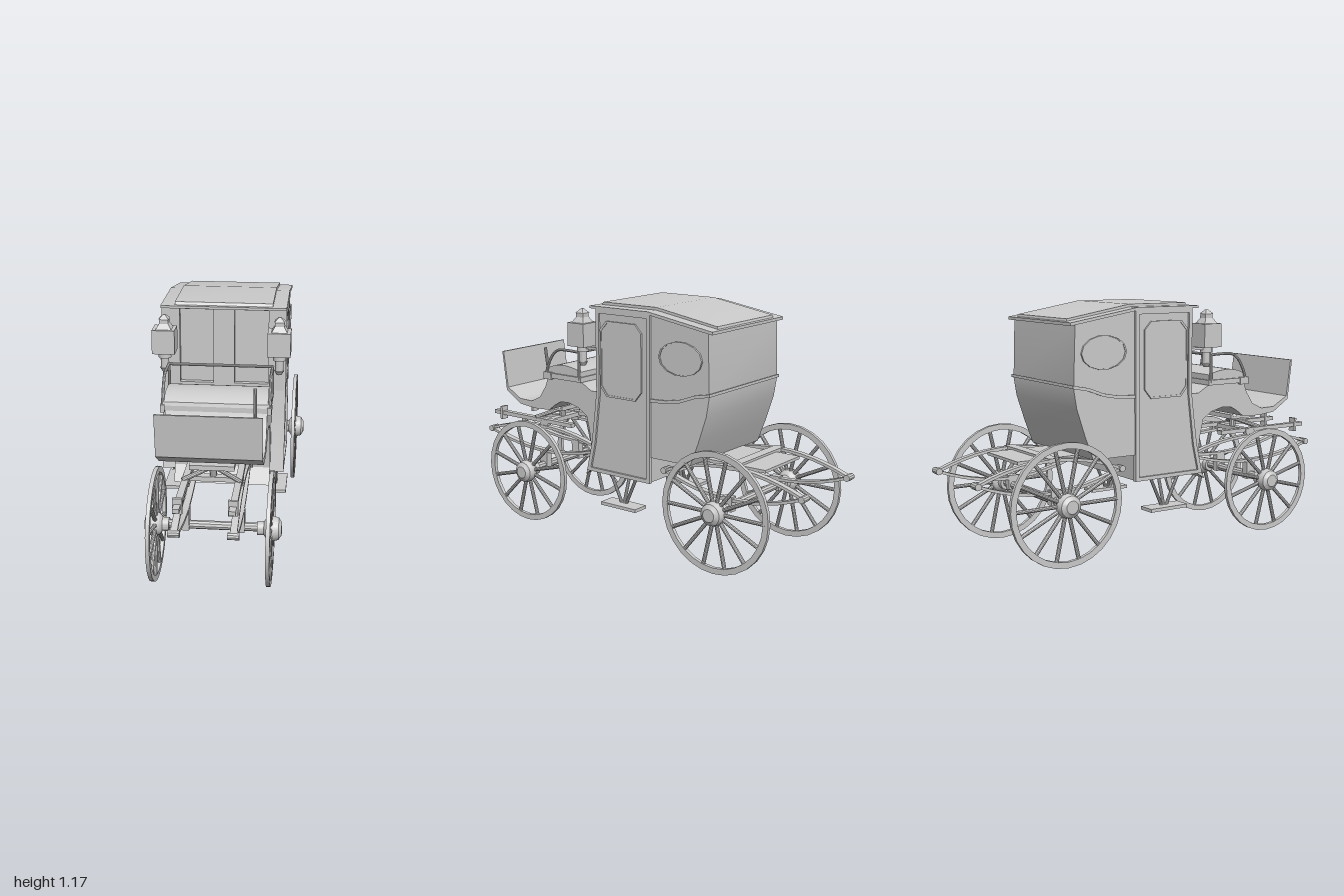
import * as THREE from 'three';
import { toCreasedNormals } from 'three/addons/utils/BufferGeometryUtils.js';

const mat = new THREE.MeshStandardMaterial({ color: 0xcccccc, side: THREE.DoubleSide });
const V = (x, y, z) => new THREE.Vector3(x, y, z);

export function createModel() {
  const root = new THREE.Group();

  function add(name, geo, parent = root) {
    const mesh = new THREE.Mesh(toCreasedNormals(geo, 0.55), mat);
    mesh.name = name;
    parent.add(mesh);
    return mesh;
  }
  const box = (name, w, h, d, x, y, z, parent) =>
    add(name, new THREE.BoxGeometry(w, h, d).translate(x, y, z), parent);

  // Side outline in (z, y), extruded across x and centred on cx
  const outline = (pts) => new THREE.Shape(pts.map(([z, y]) => new THREE.Vector2(z, y)));
  function side(name, shape, width, cx = 0) {
    const s = Array.isArray(shape) ? outline(shape) : shape;
    const g = new THREE.ExtrudeGeometry(s, { depth: width, bevelEnabled: false, curveSegments: 12 });
    return add(name, g.rotateY(-Math.PI / 2).translate(cx + width / 2, 0, 0));
  }
  // Straight round bar between two points
  function rod(name, a, b, r, parent) {
    const d = b.clone().sub(a);
    const g = new THREE.CylinderGeometry(r, r, d.length(), 10);
    g.applyQuaternion(new THREE.Quaternion().setFromUnitVectors(V(0, 1, 0), d.normalize()));
    return add(name, g.translate(...a.clone().add(b).multiplyScalar(0.5).toArray()), parent);
  }
  const tube = (name, pts, r) =>
    add(name, new THREE.TubeGeometry(new THREE.CatmullRomCurve3(pts, false, 'centripetal'), 28, r, 8));
  // Raised frame with a pane inside it, on the side of the body
  function windowFrame(name, pts, cz, cy, s, x) {
    const ring = outline(pts.map(([z, y]) => [cz + z, cy + y]));
    ring.holes.push(outline(pts.map(([z, y]) => [cz + z * 0.93, cy + y * 0.95])));
    side(name + 'Frame', ring, 0.014, s * x);
    side(name + 'Pane', pts.map(([z, y]) => [cz + z * 0.95, cy + y * 0.96]), 0.008, s * x);
  }
  // Curved leaf of a spring
  function leaf(name, z0, z1, y, rise, x) {
    const s = new THREE.Shape(), m = (z0 + z1) / 2, t = 0.014;
    s.moveTo(z0, y + t / 2).quadraticCurveTo(m, y + t / 2 + 2 * rise, z1, y + t / 2);
    s.lineTo(z1, y - t / 2).quadraticCurveTo(m, y - t / 2 + 2 * rise, z0, y - t / 2);
    side(name, s, 0.03, x);
  }

  // Cabin: door section with flared front, and tapered rear section
  const flare = [[0.11, 0.75], [0.122, 0.65], [0.142, 0.5], [0.175, 0.355]];
  side('cabinDoorSection', [[0.085, 1.155], [0.085, 0.75], ...flare, [-0.2, 0.355], [-0.2, 1.155]], 0.57);
  side('cabinRear', [[-0.19, 1.15], [-0.19, 0.48], [-0.435, 0.48], [-0.477, 0.59], [-0.52, 0.72],
    [-0.535, 0.81], [-0.525, 1.1]], 0.57);
  side('beltMoulding', [[-0.2, 0.745], [-0.3, 0.75], [-0.38, 0.765], [-0.46, 0.795], [-0.542, 0.812],
    [-0.542, 0.826], [-0.46, 0.81], [-0.38, 0.78], [-0.3, 0.765], [-0.2, 0.76]], 0.585);

  // Front wall with two recessed panels
  const wall = new THREE.Shape([[-0.285, 0.73], [0.285, 0.73], [0.285, 1.155], [-0.285, 1.155]]
    .map(p => new THREE.Vector2(...p)));
  for (const s of [-1, 1])
    wall.holes.push(new THREE.Path([[0.05, 0.78], [0.21, 0.78], [0.21, 1.14], [0.05, 1.14]]
      .map(([x, y]) => new THREE.Vector2(s * x, y))));
  add('frontWall', new THREE.ExtrudeGeometry(wall, { depth: 0.025, bevelEnabled: false }).translate(0, 0, 0.085));

  // Roof: overhanging slab with a raised middle
  side('roof', [[0.145, 1.15], [0.145, 1.162], [-0.2, 1.162], [-0.553, 1.104], [-0.553, 1.09], [-0.2, 1.148]], 0.59);
  side('roofPanel', [[0.125, 1.16], [0.115, 1.175], [-0.2, 1.175], [-0.535, 1.118], [-0.54, 1.1], [-0.2, 1.155]], 0.46);

  // Doors, posts and windows on both sides
  const octagon = [[-0.122, -0.135], [-0.085, -0.18], [0.085, -0.18], [0.122, -0.135],
    [0.122, 0.14], [0.085, 0.18], [-0.085, 0.18], [-0.122, 0.14]];
  const oval = Array.from({ length: 14 }, (_, i) => {
    const a = i / 14 * Math.PI * 2;
    return [0.12 * Math.cos(a), 0.078 * Math.sin(a)];
  });
  for (const s of [-1, 1]) {
    side('frontPost', [[0.11, 1.155], ...flare, [0.155, 0.355], [0.122, 0.5], [0.104, 0.65], [0.092, 0.75],
      [0.092, 1.155]], 0.02, s * 0.285);
    box('rearPost', 0.02, 0.8, 0.02, s * 0.285, 0.755, -0.2);
    box('doorSill', 0.02, 0.018, 0.37, s * 0.285, 0.364, -0.02);
    box('doorHeader', 0.02, 0.02, 0.3, s * 0.285, 1.14, -0.05);
    windowFrame('doorWindow', octagon, -0.037, 0.917, s, 0.287);
    windowFrame('ovalWindow', oval, -0.378, 0.965, s, 0.287);
  }

  // Driver's body: dashboard, footwell, seat riser and lower front
  side('driverBody', [[0.8, 0.865], [0.775, 0.665], [0.68, 0.605], [0.58, 0.595], [0.48, 0.6], [0.44, 0.63],
    [0.4, 0.652], [0.35, 0.655], [0.28, 0.638], [0.23, 0.605], [0.212, 0.53], [0.2, 0.44], [0.197, 0.385],
    [0.24, 0.31], [0.16, 0.36], [0.08, 0.36], [0.08, 0.735], [0.2, 0.735], [0.27, 0.775], [0.48, 0.775],
    [0.5, 0.72], [0.54, 0.66], [0.6, 0.63], [0.68, 0.632], [0.765, 0.68], [0.79, 0.865]], 0.46);
  box('seatBase', 0.49, 0.025, 0.235, 0, 0.782, 0.37);
  const cushion = new THREE.Shape();
  cushion.moveTo(0.26, 0.794).lineTo(0.49, 0.794).lineTo(0.485, 0.81);
  cushion.bezierCurveTo(0.43, 0.85, 0.34, 0.85, 0.26, 0.82);
  side('seatCushion', cushion, 0.47);
  for (const s of [-1, 1]) {
    const x = s * 0.24;
    tube('seatRail', [V(x, 0.785, 0.485), V(x, 0.83, 0.47), V(x, 0.89, 0.435), V(x, 0.915, 0.4),
      V(x, 0.92, 0.34), V(x, 0.918, 0.265)], 0.007);
    rod('seatRailPost', V(x, 0.78, 0.268), V(x, 0.922, 0.265), 0.007);
    box('railFoot', 0.02, 0.035, 0.05, x, 0.78, 0.47);
  }
  rod('seatBackRail', V(-0.24, 0.918, 0.265), V(0.24, 0.918, 0.265), 0.007);
  rod('brakeLever', V(0.18, 0.63, 0.5), V(0.18, 0.905, 0.543), 0.008);

  // Carriage lamps
  for (const s of [-1, 1]) {
    const lamp = new THREE.Group();
    lamp.name = 'lamp';
    lamp.position.set(s * 0.267, 0, 0.215);
    root.add(lamp);
    const part = (name, top, bottom, y0, y1, sides) => {
      const g = new THREE.CylinderGeometry(top, bottom, y1 - y0, sides);
      if (sides === 4) g.rotateY(Math.PI / 4);
      add(name, g.translate(0, (y0 + y1) / 2, 0), lamp);
    };
    box('lampHousing', 0.106, 0.113, 0.1, 0, 1.018, 0, lamp);
    part('lampRoof', 0.03, 0.052, 1.074, 1.1, 4);
    part('lampChimney', 0.03, 0.03, 1.1, 1.12, 4);
    part('lampCap', 0.006, 0.034, 1.12, 1.14, 4);
    part('lampNeck', 0.03, 0.03, 0.935, 0.962, 12);
    part('lampStem', 0.02, 0.02, 0.88, 0.94, 12);
    part('lampTip', 0.024, 0.012, 0.865, 0.885, 12);
    box('lampBracket', 0.02, 0.012, 0.12, 0, 0.955, -0.06, lamp);
  }

  // Wheels
  function wheel(name, R, spokes, x, y, z, turned) {
    const g = new THREE.Group();
    g.name = name;
    g.position.set(x, y, z);
    if (turned) g.rotation.y = Math.PI;
    root.add(g);
    const lathe = (part, pts, n) => add(part, new THREE.LatheGeometry(
      pts.map(p => new THREE.Vector2(...p)), n).rotateZ(-Math.PI / 2), g);
    const w = 0.028, t = 0.009;
    lathe('rim', [[R - w, -t], [R, -t], [R, t], [R - w, t], [R - w, -t]], 28);
    lathe('hub', [[0, -0.06], [0.032, -0.06], [0.032, -0.03], [0.048, -0.018], [0.056, 0], [0.056, 0.018],
      [0.05, 0.037], [0.036, 0.045], [0.03, 0.05], [0, 0.05]], 20);
    for (let i = 0; i < spokes; i++) {
      const a = (i + 0.5) / spokes * Math.PI * 2, c = Math.cos(a), d = Math.sin(a);
      rod('spoke', V(0, 0.04 * c, 0.04 * d), V(0, (R - 0.02) * c, (R - 0.02) * d), 0.0095, g);
    }
  }
  for (const s of [-1, 1]) {
    wheel('frontWheel', 0.262, 12, s * 0.26, 0.266, 0.61, s < 0);
    wheel('rearWheel', 0.285, 14, s * 0.32, 0.298, -0.595, s < 0);
  }
  rod('frontAxle', V(-0.26, 0.27, 0.61), V(0.26, 0.27, 0.61), 0.02);
  rod('rearAxle', V(-0.32, 0.3, -0.595), V(0.32, 0.3, -0.595), 0.019);

  // Springs, shaft bars and steps
  for (const s of [-1, 1]) {
    for (const up of [-1, 1]) {
      leaf('frontSpring', 0.225, 0.995, 0.41, up * 0.065, s * 0.125);
      leaf('rearSpring', -0.98, -0.24, 0.41, up * 0.075, s * 0.205);
    }
    for (const [x, z] of [[0.125, 0.225], [0.125, 0.985], [0.205, -0.98], [0.205, -0.24]])
      rod('springEye', V(s * x - 0.025, 0.41, z), V(s * x + 0.025, 0.41, z), 0.016);
    box('frontSpringClamp', 0.036, 0.1, 0.05, s * 0.125, 0.3, 0.61);
    box('rearSpringClamp', 0.036, 0.07, 0.05, s * 0.205, 0.315, -0.595);
    box('shaftBar', 0.03, 0.02, 0.55, s * 0.118, 0.505, 0.695);
    box('shaftPeg', 0.042, 0.07, 0.014, s * 0.118, 0.505, 0.915);
    box('springPost', 0.03, 0.04, 0.05, s * 0.12, 0.485, 0.61);
    rod('crossBrace', V(s * 0.105, 0.585, 0.53), V(-s * 0.13, 0.515, 0.67), 0.011);
    box('step', 0.085, 0.016, 0.21, s * 0.262, 0.207, -0.025);
    for (const [x, z] of [[0.25, 0.065], [0.25, -0.1], [0.2, -0.02]])
      rod('stepStrut', V(s * x, 0.36, z), V(s * 0.25, 0.21, -0.02 + (z + 0.02) * 0.15), 0.008);
  }

  // Turntable under the driver and rear platform
  box('turntableBlock', 0.2, 0.022, 0.16, 0, 0.575, 0.59);
  rod('kingPin', V(0, 0.49, 0.6), V(0, 0.61, 0.6), 0.016);
  box('turntableCrossBar', 0.27, 0.022, 0.04, 0, 0.5, 0.6);
  box('rearPlatform', 0.3, 0.014, 0.52, 0, 0.477, -0.49);
  box('rearCrossBar', 0.44, 0.02, 0.05, 0, 0.485, -0.6);
  return root;
}
